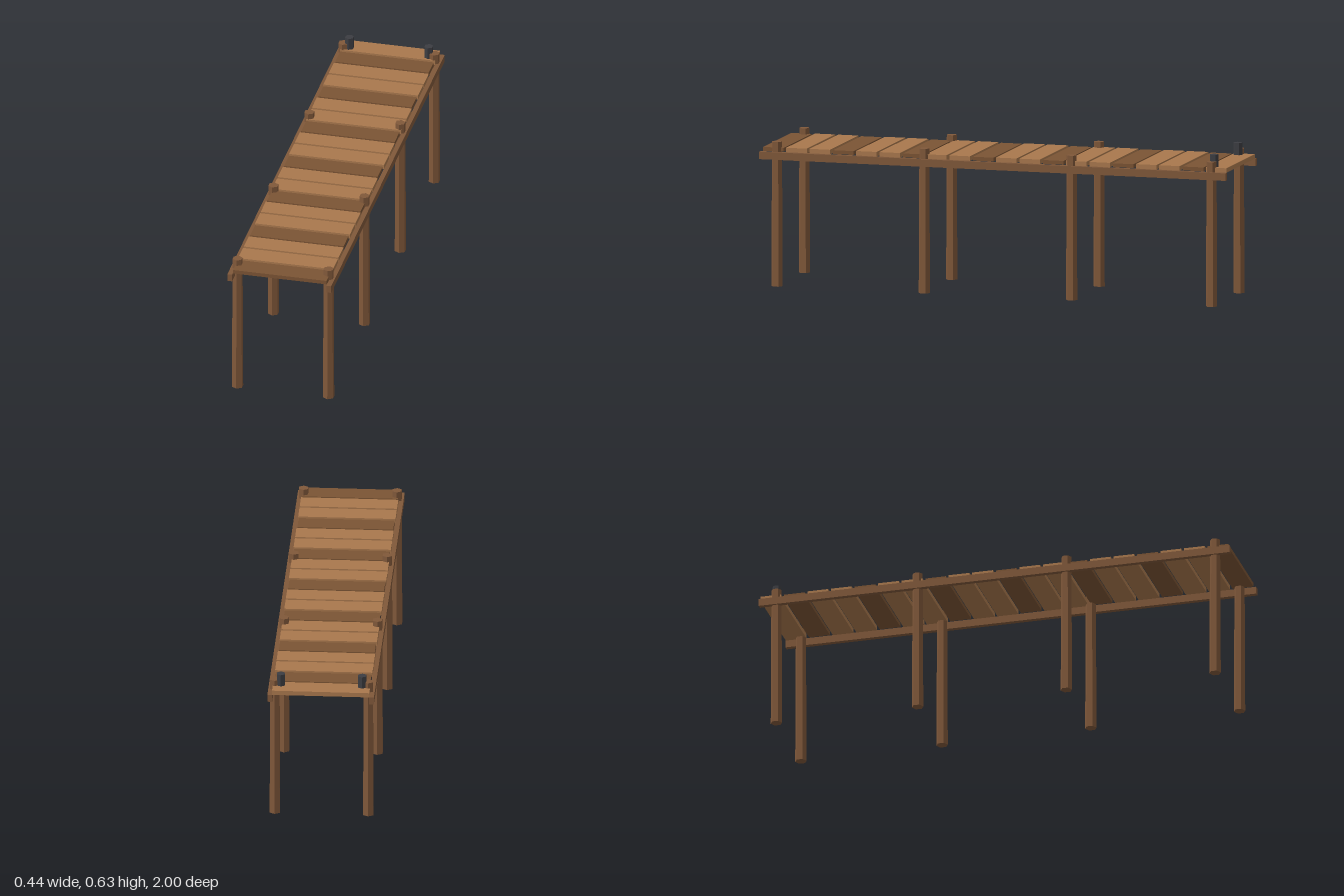
import * as THREE from 'three';

const material = (name, color) => {
  const m = new THREE.MeshStandardMaterial({ color, flatShading: true });
  m.name = name;
  return m;
};

export function createModel() {
  const lightWood = material('light plank wood', 0xa9784d);
  const darkWood = material('dark plank wood', 0x7b5434);
  const postWood = material('post wood', 0x80583a);
  const iron = material('dark iron', 0x3c3d42);

  const model = new THREE.Group();
  model.name = 'pier';

  const add = (name, geometry, mat, x, y, z) => {
    const mesh = new THREE.Mesh(geometry, mat);
    mesh.name = name;
    mesh.position.set(x, y, z);
    model.add(mesh);
  };

  // Deck: twenty planks, every third one dark, starting at the front
  const lightPlank = new THREE.BoxGeometry(0.4, 0.019, 0.088);
  const darkPlank = new THREE.BoxGeometry(0.394, 0.016, 0.088);
  for (let i = 0; i < 20; i++) {
    const dark = i % 3 === 0;
    add('plank', dark ? darkPlank : lightPlank, dark ? darkWood : lightWood,
      0, 0.567, 0.946 - i * 0.1);
  }

  // Six-sided parts have a corner towards the front
  const post = new THREE.CylinderGeometry(0.0215, 0.0243, 0.6, 6);
  const rail = new THREE.BoxGeometry(0.02, 0.031, 2);
  const bollard = new THREE.CylinderGeometry(0.019, 0.019, 0.052, 6);

  for (const side of [-1, 1]) {
    const label = side > 0 ? 'left' : 'right';

    // Long beam below the plank ends
    add(label + 'Rail', rail, postWood, side * 0.209, 0.5425, 0);

    // Tapered posts rising through the deck
    for (const z of [0.932, 0.3, -0.332, -0.932]) {
      add(label + 'Post', post, postWood, side * 0.192, 0.3, z);
    }

    // Mooring bollard at the back end
    add(label + 'Bollard', bollard, iron, side * 0.167, 0.601, -0.936);
  }
  return model;
}
